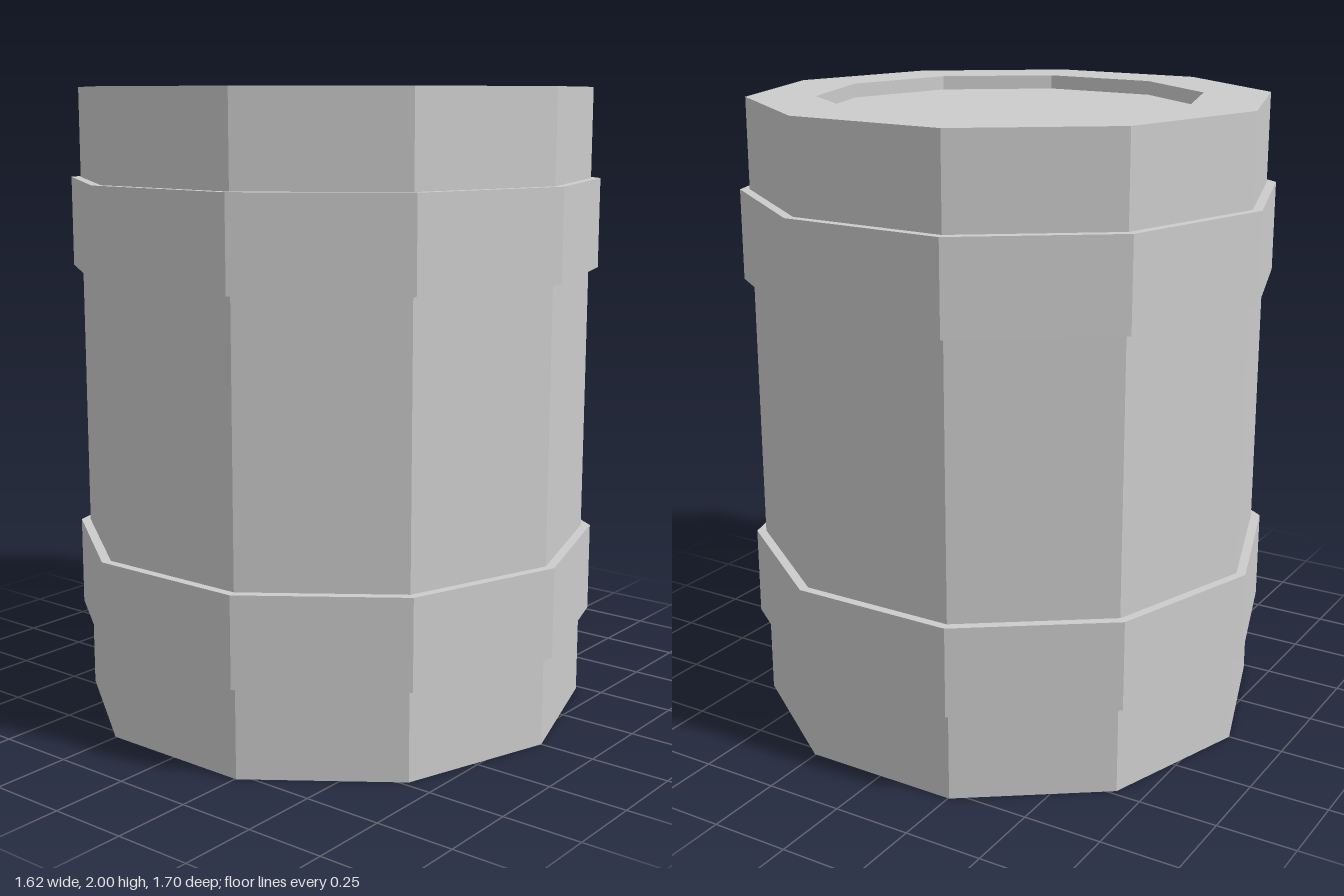
import * as THREE from 'three';

const SIDES = 10;

// Faceted solid of revolution, profile given bottom to top as [radius, height]
function faceted(name, profile, material) {
  const points = profile.map(([r, y]) => new THREE.Vector2(r, y));
  const geometry = new THREE.LatheGeometry(points, SIDES).toNonIndexed();
  geometry.computeVertexNormals();
  const mesh = new THREE.Mesh(geometry, material);
  mesh.name = name;
  return mesh;
}

export function createModel() {
  const model = new THREE.Group();
  model.name = 'barrel';
  const grey = new THREE.MeshStandardMaterial({ color: 0xcccccc, flatShading: true });
  grey.name = 'grey';

  const bodyRadius = 0.82, bandRadius = 0.85, lidRadius = 0.605;
  const lidHeight = 1.955, bandHeight = 0.285;

  // Body with flat base, broad rim and sunken lid
  model.add(faceted('body', [
    [0, 0], [bodyRadius, 0], [bodyRadius, 2],
    [lidRadius, 2], [lidRadius, lidHeight], [0, lidHeight],
  ], grey));

  // Raised hoops around the body
  for (const [name, y] of [['lowerHoop', 0.287], ['upperHoop', 1.43]]) {
    const top = y + bandHeight;
    model.add(faceted(name, [
      [bodyRadius, y], [bandRadius, y], [bandRadius, top], [bodyRadius, top],
    ], grey));
  }
  return model;
}
